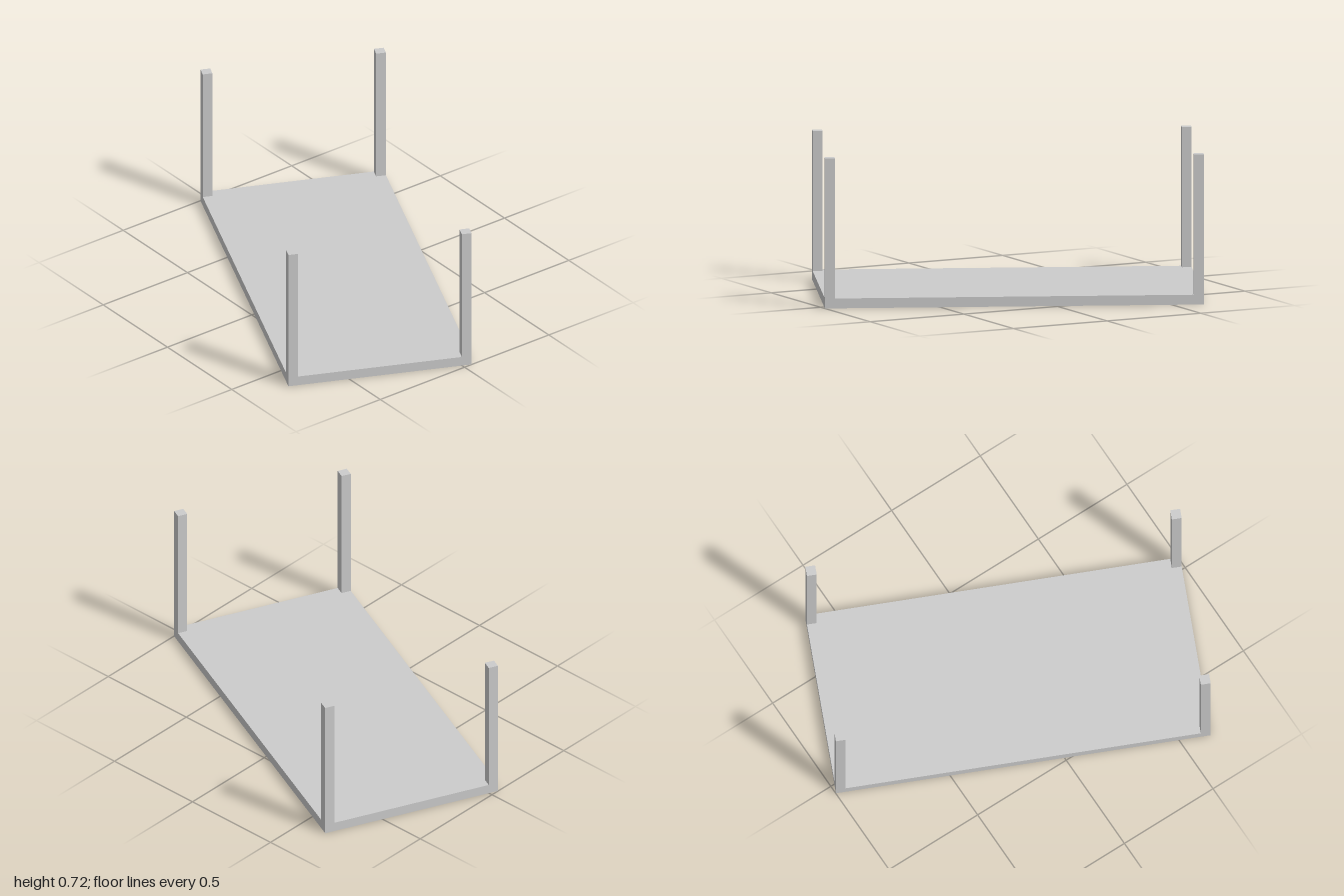
import * as THREE from 'three';

export function createModel() {
  const group = new THREE.Group();
  const material = new THREE.MeshStandardMaterial({ color: 0xcccccc, flatShading: true });

  const length = 1.792, width = 0.888, thickness = 0.047;
  const legSize = 0.047, totalHeight = 0.716;

  // The upturned table sits turned about the vertical axis
  const table = new THREE.Group();
  table.name = 'upturnedTable';
  table.rotation.y = -THREE.MathUtils.degToRad(23.95);
  group.add(table);

  const addBox = (name, w, h, d, x, y, z) => {
    const mesh = new THREE.Mesh(new THREE.BoxGeometry(w, h, d), material);
    mesh.name = name;
    mesh.position.set(x, y, z);
    table.add(mesh);
  };

  // Flat tabletop resting on the ground
  addBox('tabletop', length, thickness, width, 0, thickness / 2, 0);

  // Four square legs flush with the corners
  const legHeight = totalHeight - thickness;
  for (const sx of [-1, 1]) {
    for (const sz of [-1, 1]) {
      const name = (sz > 0 ? 'front' : 'back') + (sx > 0 ? 'Left' : 'Right') + 'Leg';
      addBox(name, legSize, legHeight, legSize,
        sx * (length - legSize) / 2, thickness + legHeight / 2, sz * (width - legSize) / 2);
    }
  }
  return group;
}
